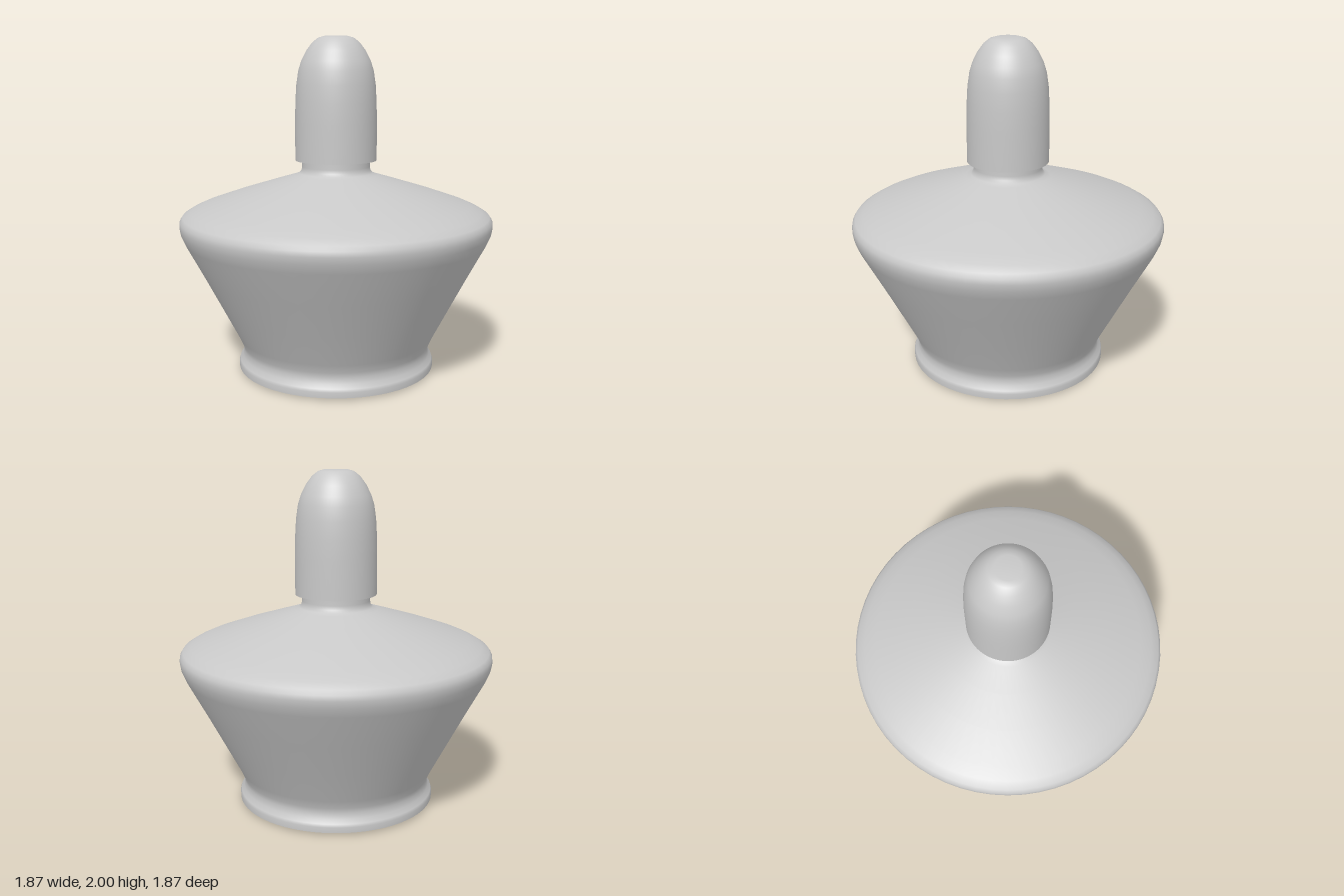
import * as THREE from 'three';

const grey = new THREE.MeshStandardMaterial({ color: 0xc8c8c8 });
grey.name = 'plain grey';

// Turned surface from [radius, height] pairs, listed from the bottom up
function turned(name, profile) {
  const points = profile.map(([r, y]) => new THREE.Vector2(r, y));
  const mesh = new THREE.Mesh(new THREE.LatheGeometry(points, 64), grey);
  mesh.name = name;
  return mesh;
}

export function createModel() {
  const model = new THREE.Group();
  model.name = 'stopperedBottle';

  // Bottle: underside, flared body with foot ring, sloping shoulder and neck
  const bottle = new THREE.Group();
  bottle.name = 'bottle';
  bottle.add(
    turned('underside', [[0, 0], [0.25, 0.002], [0.595, 0.012]]),
    turned('body', [
      [0.595, 0.012], [0.596, 0.045], [0.59, 0.062], [0.572, 0.085], [0.566, 0.12],
      [0.571, 0.15], [0.592, 0.2], [0.69, 0.39], [0.796, 0.595], [0.905, 0.8],
      [0.928, 0.855], [0.935, 0.895], [0.932, 0.925], [0.915, 0.95], [0.87, 0.977],
      [0.8, 1.008], [0.6, 1.077], [0.4, 1.139], [0.25, 1.184], [0.22, 1.196],
      [0.207, 1.212], [0.203, 1.235], [0.203, 1.3],
    ]),
  );

  // Stopper: flat lower face and a tall domed cap
  const stopper = new THREE.Group();
  stopper.name = 'stopper';
  stopper.add(
    turned('stopperBase', [[0, 1.272], [0.243, 1.272]]),
    turned('stopperDome', [
      [0.243, 1.272], [0.243, 1.5], [0.24, 1.62], [0.234, 1.72], [0.222, 1.8],
      [0.205, 1.855], [0.175, 1.915], [0.14, 1.962], [0.105, 1.99], [0.07, 2], [0, 2],
    ]),
  );

  model.add(bottle, stopper);
  return model;
}
